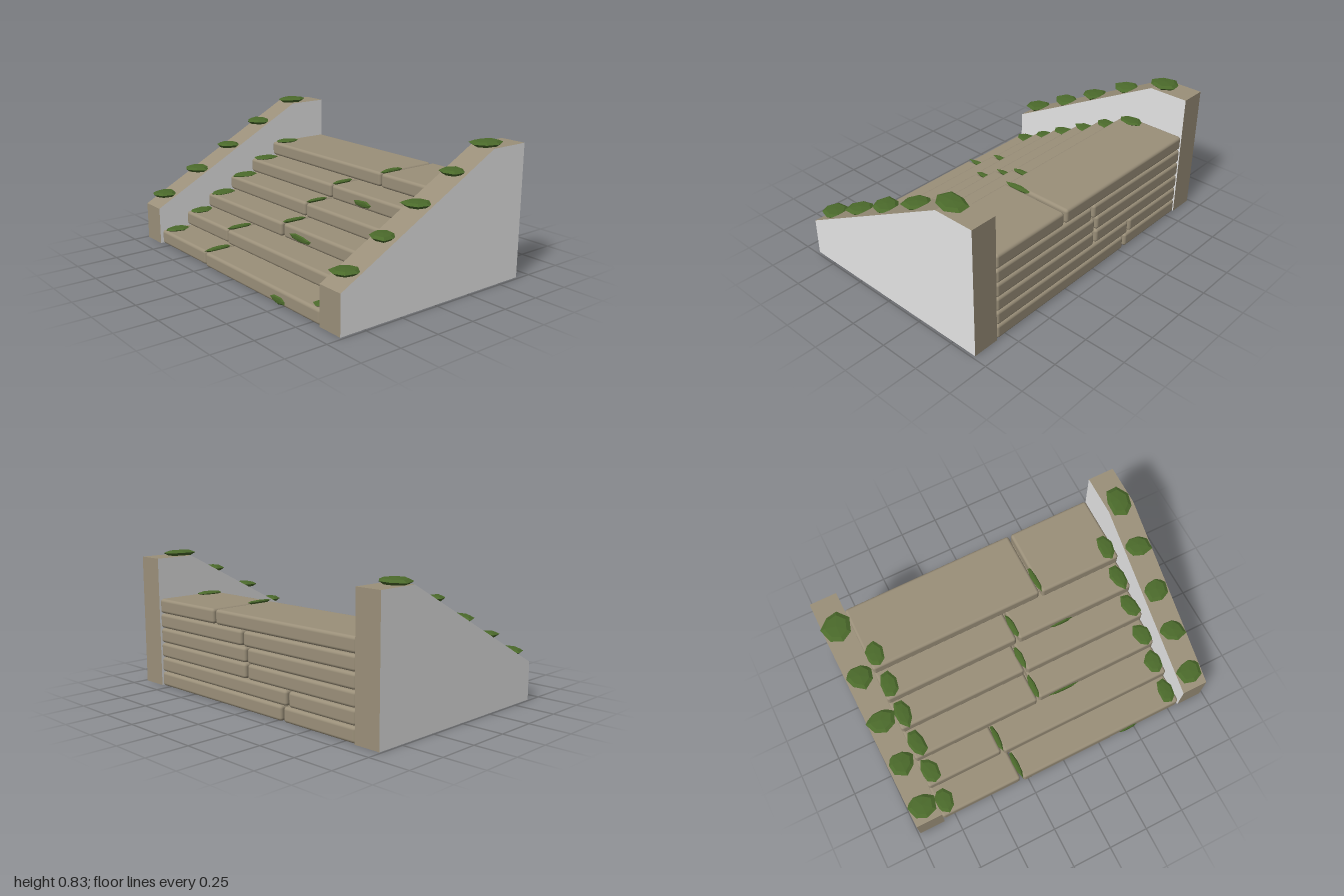
import * as THREE from 'three';
import { RoundedBoxGeometry } from 'three/addons/geometries/RoundedBoxGeometry.js';

const stone = new THREE.MeshStandardMaterial({ color: 0x9a8f79 });
stone.name = 'stone';
const wallStone = new THREE.MeshStandardMaterial({ color: 0x9a8f79, side: THREE.DoubleSide });
wallStone.name = 'wall stone';
const wallGrey = new THREE.MeshStandardMaterial({ color: 0xe4e4e4, side: THREE.DoubleSide });
wallGrey.name = 'wall side grey';
const mossGreen = new THREE.MeshStandardMaterial({ color: 0x4b6a2b, flatShading: true });
mossGreen.name = 'moss green';

const BACK = -0.66;
const ROW = 0.0918;

// Each row: x of the joint, front z of the left-hand slab, front z of the right-hand slab
const rows = [
  [-0.29, 0.64, 0.65],
  [-0.33, 0.457, 0.468],
  [0.003, 0.291, 0.286],
  [0.003, 0.115, 0.12],
  [0.036, -0.056, -0.051],
  [0.28, -0.233, -0.227],
];

// Side wall outline as (z, y), from front foot over the slope to back foot
const outline = [[0.653, 0], [0.653, 0.23], [-0.41, 0.793], [BACK, 0.793], [BACK, 0]];

function add(parent, name, geometry, material) {
  const mesh = new THREE.Mesh(geometry, material);
  mesh.name = name;
  parent.add(mesh);
  return mesh;
}

// Slab with softened edges spanning x0..x1 and back..front
function slab(parent, x0, x1, y0, front) {
  const h = 0.088;
  const geo = new RoundedBoxGeometry(x1 - x0, h, front - BACK, 3, 0.018);
  add(parent, 'stepSlab', geo, stone).position.set((x0 + x1) / 2, y0 + h / 2, (front + BACK) / 2);
}

// Hollow side wall: open underneath, stone rim and grey sides
function sideWall(parent, x0, x1) {
  const wall = new THREE.Group();
  wall.name = 'sideWall';
  const pos = [];
  for (let i = 0; i < outline.length - 1; i++) {
    const [za, ya] = outline[i];
    const [zb, yb] = outline[i + 1];
    pos.push(x0, ya, za, x1, ya, za, x1, yb, zb, x0, ya, za, x1, yb, zb, x0, yb, zb);
  }
  const rim = new THREE.BufferGeometry();
  rim.setAttribute('position', new THREE.Float32BufferAttribute(pos, 3));
  rim.computeVertexNormals();
  add(wall, 'wallRim', rim, wallStone);

  // The shape lies in xy; turning it by -90 degrees about y sends its x to +z
  const shape = new THREE.Shape(outline.map(([z, y]) => new THREE.Vector2(z, y)));
  for (const [x, turn] of [[x0, 1], [x1, -1]]) {
    const side = new THREE.ShapeGeometry(shape);
    if (turn > 0) side.rotateY(-Math.PI / 2);
    else side.scale(-1, 1, 1).rotateY(Math.PI / 2);
    if (turn < 0) {
      // mirrored, so restore the corner order and outward normals
      const idx = side.index.array;
      for (let i = 0; i < idx.length; i += 3) [idx[i], idx[i + 1]] = [idx[i + 1], idx[i]];
      side.computeVertexNormals();
    }
    side.translate(x, 0, 0);
    add(wall, 'wallSide', side, wallGrey);
  }
  parent.add(wall);
}

// Flat irregular clump of moss, with its size given as full width, height and depth
let seed = 1;
function moss(parent, x, y, z, w, h, d) {
  const profile = [[0, -0.5], [0.7, -0.45], [1, 0.05], [0.72, 0.38], [0, 0.5]]
    .map(([r, py]) => new THREE.Vector2(r, py));
  const geo = new THREE.LatheGeometry(profile, 7, 0);
  const p = geo.attributes.position;
  const s = seed++ * 1.7;
  for (let i = 0; i < p.count; i++) {
    const px = p.getX(i), pz = p.getZ(i);
    const a = Math.atan2(pz, px);
    const k = 1 + 0.1 * Math.sin(2 * a + s) + 0.06 * Math.sin(3 * a + 2 * s);
    p.setXYZ(i, px * k * w / 2, (p.getY(i) + 0.12 * px * Math.sin(s)) * h, pz * k * d / 2);
  }
  geo.computeVertexNormals();
  const mesh = add(parent, 'mossClump', geo, mossGreen);
  mesh.position.set(x, y, z);
  return mesh;
}

export function createModel() {
  const model = new THREE.Group();
  model.name = 'mossyStoneStairs';

  // Steps
  const steps = new THREE.Group();
  steps.name = 'steps';
  rows.forEach(([joint, frontL, frontR], i) => {
    slab(steps, -0.825, joint - 0.008, i * ROW, frontL);
    slab(steps, joint + 0.008, 0.815, i * ROW, frontR);
  });
  model.add(steps);

  // Side walls
  sideWall(model, -0.988, -0.825);
  sideWall(model, 0.82, 0.983);

  // Moss on the treads: both ends and over the joint
  const growth = new THREE.Group();
  growth.name = 'moss';
  rows.forEach(([joint, front], i) => {
    const top = i * ROW + 0.092;
    const z = front - 0.085;
    moss(growth, -0.775, top, z, 0.11, 0.024, 0.17);
    moss(growth, 0.77, top, z + 0.005, 0.105, 0.024, 0.165);
    moss(growth, joint + 0.003, top, z, 0.04, 0.022, 0.17);
  });

  // Moss on the walls: y, left-hand z, right-hand z, depth
  const wallMoss = [
    [0.30, 0.565, 0.555, 0.17],
    [0.43, 0.315, 0.31, 0.15],
    [0.557, 0.075, 0.075, 0.16],
    [0.69, -0.175, -0.18, 0.15],
    [0.808, -0.455, -0.44, 0.2],
  ];
  for (const [y, zl, zr, d] of wallMoss) {
    moss(growth, -0.905, y, zl, 0.165, 0.035, d);
    moss(growth, 0.9, y, zr, 0.155, 0.035, d);
  }

  // Moss on the risers
  for (const [x, y, z, w] of [[0.46, 0.027, 0.65, 0.14], [0.175, 0.217, 0.287, 0.2], [0.33, 0.4, -0.05, 0.15]]) {
    moss(growth, x, y, z, w, 0.018, 0.045).rotation.x = Math.PI / 2;
  }
  model.add(growth);

  return model;
}
